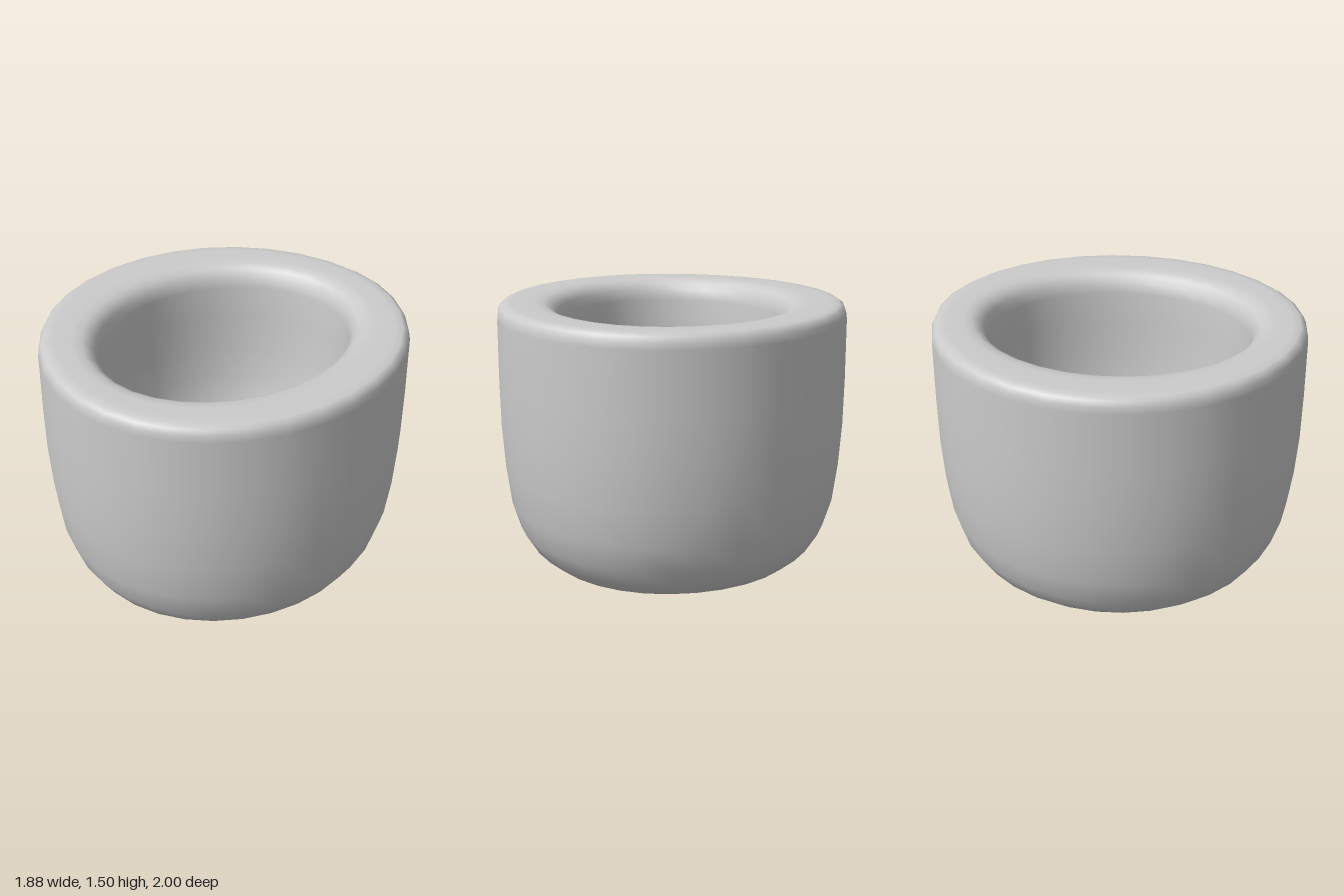
import * as THREE from 'three';
import { mergeVertices } from 'three/addons/utils/BufferGeometryUtils.js';

// Cross-section from the underside, up the outer wall, over the rim, down into the bowl:
// [radius along z, height, width factor along x]
const PROFILE = [
  [0, 0, 1], [0.3, 0.005, 1], [0.48, 0.02, 1], [0.62, 0.047, 1], [0.74, 0.09, 1],
  [0.83, 0.16, 1], [0.9, 0.265, 1], [0.948, 0.41, 1], [0.978, 0.62, 1], [0.995, 0.85, 1],
  [1, 1.1, 1], [1, 1.42, 1], [0.996, 1.455, 1], [0.983, 1.483, 1], [0.96, 1.497, 1],
  [0.92, 1.5, 1], [0.83, 1.5, 0.95], [0.785, 1.494, 0.93], [0.75, 1.475, 0.92],
  [0.722, 1.44, 0.91], [0.708, 1.38, 0.91], [0.703, 1.2, 0.91], [0.695, 1.0, 0.91],
  [0.675, 0.8, 0.91], [0.635, 0.64, 0.91], [0.57, 0.52, 0.91], [0.47, 0.425, 0.91],
  [0.33, 0.36, 0.91], [0.17, 0.33, 0.91], [0, 0.32, 0.91],
];

export function createModel() {
  const group = new THREE.Group();
  group.name = 'cup';

  let geometry = new THREE.LatheGeometry(PROFILE.map(([r, y]) => new THREE.Vector2(r, y)), 32);

  // Squash the round section into a slightly lopsided oval, fuller on one side
  const pos = geometry.attributes.position;
  for (let i = 0; i < pos.count; i++) {
    const [radius, , width] = PROFILE[i % PROFILE.length];
    const x = pos.getX(i);
    pos.setX(i, 0.04 * radius + x * width * (x > 0 ? 0.9 : 0.985));
  }

  // Weld the seam so the shading is continuous
  geometry.deleteAttribute('normal');
  geometry.deleteAttribute('uv');
  geometry = mergeVertices(geometry, 1e-4);
  geometry.computeVertexNormals();

  const body = new THREE.Mesh(geometry, new THREE.MeshStandardMaterial({ color: 0xcccccc }));
  body.name = 'cupBody';
  group.add(body);
  return group;
}
